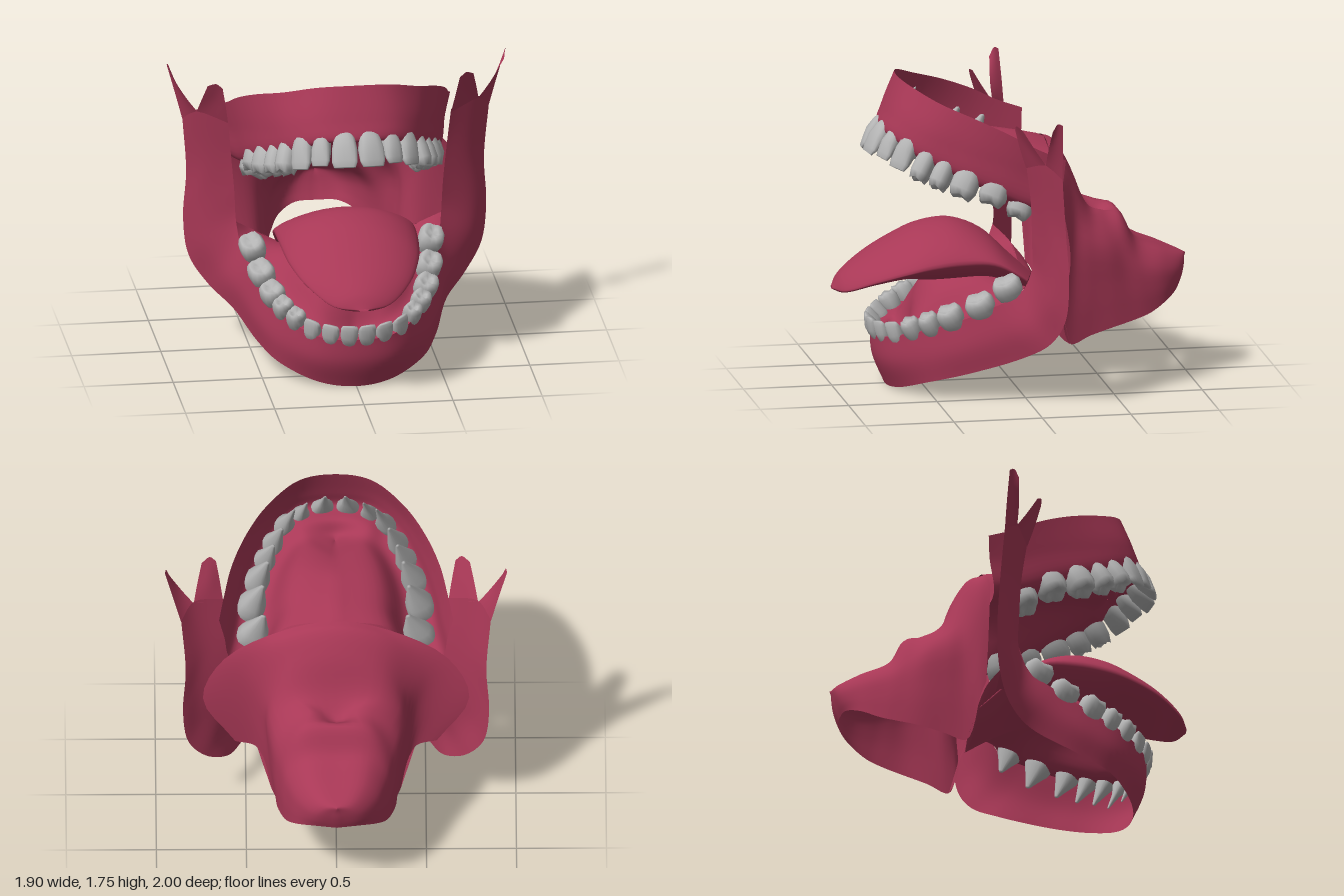
import * as THREE from 'three';
import { mergeVertices } from 'three/addons/utils/BufferGeometryUtils.js';

const flesh = new THREE.MeshStandardMaterial({ color: 0xa83856, side: THREE.DoubleSide });
flesh.name = 'flesh pink';
const enamel = new THREE.MeshStandardMaterial({ color: 0xb4b4b4 });
enamel.name = 'tooth grey';

const V = (p) => new THREE.Vector3(...p);
const flip = (p) => [-p[0], p[1], p[2]];
const spline = (pts, n) => new THREE.CatmullRomCurve3(pts).getPoints(n);

// Smooth sheet through a small grid of points
function sheet(rows, nu, nv) {
  const across = rows.map((r) => spline(r.map(V), nv));
  const cols = across[0].map((_, j) => spline(across.map((r) => r[j]), nu));
  const pos = [], idx = [];
  cols.forEach((c) => c.forEach((p) => pos.push(p.x, p.y, p.z)));
  for (let j = 0; j < nv; j++) {
    for (let i = 0; i < nu; i++) {
      const a = j * (nu + 1) + i, b = a + nu + 1;
      idx.push(a, b, a + 1, b, b + 1, a + 1);
    }
  }
  const g = new THREE.BufferGeometry();
  g.setAttribute('position', new THREE.Float32BufferAttribute(pos, 3));
  g.setIndex(idx);
  const m = mergeVertices(g, 1e-4);
  m.computeVertexNormals();
  return m;
}
// Mirror a list of rows (first row on the midline), or the points inside a row
const mirrorRows = (rows) => [...rows.slice(1).reverse().map((r) => r.map(flip)), ...rows];
const mirrorPoints = (row) => [...row.slice(1).reverse().map(flip), ...row];

// Unit tooth: biting edge at y -0.5, neck at 0.5, root above; rings are [y, width, depth]
function toothShape(rings, cusp) {
  const g = new THREE.LatheGeometry(rings.map(([y, w]) => new THREE.Vector2(w, y)), 16);
  const p = g.attributes.position;
  for (let i = 0; i < p.count; i++) {
    const [y, w, d] = rings[i % rings.length];
    const a = Math.atan2(p.getZ(i), p.getX(i));
    const sq = 1 + 0.12 * Math.sin(2 * a) ** 2;
    p.setXYZ(i, p.getX(i) * sq, y + (y < -0.3 && w > 0.4 ? cusp * Math.cos(4 * a) : 0),
      w > 0 ? p.getZ(i) * sq * d / w : 0);
  }
  g.deleteAttribute('uv');
  g.deleteAttribute('normal');
  const m = mergeVertices(g, 1e-4);
  m.computeVertexNormals();
  return m;
}

export function createModel() {
  const model = new THREE.Group();
  const add = (name, geo, mat = flesh) => {
    const m = new THREE.Mesh(geo, mat);
    m.name = name;
    model.add(m);
    return m;
  };

  // Upper jaw: rim, wall, outer gum, inner gum, palate crown at stations from front to back
  const upper = [
    [[0, 1.755, .635], [0, 1.57, .705], [0, 1.46, .735], [0, 1.43, .64], [0, 1.34, .56]],
    [[.2, 1.74, .60], [.215, 1.56, .67], [.2, 1.45, .7], [.18, 1.42, .6], [0, 1.37, .45]],
    [[.38, 1.67, .46], [.365, 1.5, .555], [.335, 1.38, .595], [.26, 1.34, .53], [0, 1.41, .3]],
    [[.5, 1.6, .28], [.48, 1.42, .345], [.445, 1.29, .4], [.35, 1.26, .36], [0, 1.43, .15]],
    [[.58, 1.52, .1], [.555, 1.35, .13], [.51, 1.2, .2], [.4, 1.18, .18], [0, 1.42, .02]],
    [[.62, 1.44, -.05], [.59, 1.28, -.04], [.55, 1.11, 0], [.42, 1.09, 0], [0, 1.4, -.1]],
    [[.65, 1.38, -.2], [.62, 1.25, -.19], [.585, 1.08, -.16], [.47, 1.05, -.17], [0, 1.37, -.2]],
  ];
  // Bend the inner line of a station between gum and midline
  const bend = (r, k) => {
    const a = r[r.length - 2], b = r[r.length - 1];
    const mid = [a[0] * .62, a[1] + (b[1] - a[1]) * k, a[2] + (b[2] - a[2]) * .4];
    return [...r.slice(0, -1), mid, b];
  };
  add('upperJawAndPalate', sheet(mirrorRows(upper.map((r) => bend(r, .8))), 72, 30));

  // Lower jaw wall: rim, wall, gum; the last stations climb the rear branches
  const wall = [
    [[0, 0, .70], [0, .16, .765], [0, .3, .775]],
    [[.2, .02, .66], [.215, .17, .72], [.2, .31, .735]],
    [[.4, .09, .52], [.395, .22, .56], [.36, .365, .59]],
    [[.5, .15, .32], [.495, .28, .37], [.455, .43, .4]],
    [[.6, .25, .03], [.575, .38, .12], [.515, .52, .2]],
    [[.72, .35, -.1], [.65, .47, -.02], [.555, .61, .04]],
    [[.82, .5, -.165], [.74, .62, -.09], [.575, .74, -.02]],
    [[.85, .72, -.18], [.75, .85, -.1], [.585, .92, -.02]],
    [[.835, 1.0, -.165], [.74, 1.08, -.08], [.605, 1.14, -.01]],
    [[.86, 1.33, -.14], [.79, 1.4, -.06], [.625, 1.36, .02]],
  ];
  add('lowerJaw', sheet(mirrorRows(wall), 108, 14));

  // Forked tips on the rear branches
  const prongs = [
    [[[.625, 1.34, .02], [.71, 1.37, -.02], [.79, 1.39, -.06]],
      [[.645, 1.46, .06], [.70, 1.48, .03], [.77, 1.48, 0]],
      [[.665, 1.57, .09], [.70, 1.6, .09], [.745, 1.58, .06]]],
    [[[.79, 1.39, -.06], [.83, 1.36, -.1], [.86, 1.32, -.14]],
      [[.855, 1.48, -.06], [.88, 1.48, -.1], [.9, 1.47, -.135]],
      [[.935, 1.61, -.07], [.945, 1.66, -.1], [.95, 1.65, -.125]]],
  ];
  for (const s of [1, -1]) {
    prongs.forEach((rows, i) => add(`${s > 0 ? 'left' : 'right'}Jaw${i ? 'Outer' : 'Inner'}Prong`,
      sheet(s > 0 ? rows : rows.map((r) => r.map(flip)), 8, 6)));
  }

  // Mouth floor: inner gum and midline; the midline climbs into the tongue as its root
  const inner = [[0, .32, .69], [.17, .33, .65], [.28, .38, .54], [.36, .44, .38],
    [.42, .52, .2], [.45, .6, .04], [.47, .66, -.1]];
  const mid = [[0, .25, .63], [0, .29, .58], [0, .5, .54], [0, .66, .45],
    [0, .7, .22], [0, .6, 0], [0, .5, -.15]];
  add('mouthFloor', sheet(mirrorRows(inner.map((p, i) => bend([wall[i][2], p, mid[i]], .6))), 60, 18));

  // Front wall of the throat below the tongue root
  add('throatFront', sheet([
    [[0, .5, -.15], [.29, .56, -.12], [.47, .66, -.1]],
    [[0, .44, -.22], [.25, .46, -.22], [.45, .54, -.19]],
    [[0, .25, -.27], [.2, .25, -.27], [.36, .26, -.28]],
  ].map(mirrorPoints), 10, 20));

  // Soft palate and throat: crown, shoulder, side flap, lower side, open rim
  add('throat', sheet([
    [[0, 1.37, -.2], [.29, 1.3, -.19], [.62, 1.1, -.19], [.74, .84, -.21], [.56, .53, -.2]],
    [[0, 1.35, -.25], [.29, 1.27, -.24], [.48, 1.04, -.23], [.49, .78, -.225], [.44, .5, -.215]],
    [[0, 1.22, -.33], [.26, 1.15, -.32], [.39, .92, -.3], [.39, .6, -.29], [.36, .26, -.28]],
    [[0, 1.0, -.41], [.23, 1.0, -.41], [.37, .86, -.39], [.37, .58, -.4], [.34, .3, -.4]],
    [[0, .9, -.5], [.15, .97, -.5], [.34, .82, -.5], [.35, .58, -.52], [.33, .345, -.55]],
    [[0, .95, -.6], [.18, .93, -.6], [.3, .75, -.6], [.32, .56, -.62], [.31, .37, -.65]],
    [[0, .8, -.69], [.17, .79, -.69], [.27, .68, -.7], [.29, .54, -.72], [.28, .4, -.75]],
    [[0, .73, -.85], [.14, .72, -.85], [.22, .64, -.84], [.23, .54, -.85], [.22, .46, -.86]],
    [[0, .68, -.98], [.07, .665, -.975], [.12, .61, -.96], [.13, .55, -.945], [.12, .5, -.93]],
    [[0, .67, -1], [0, .64, -.99], [0, .59, -.98], [0, .54, -.965], [0, .5, -.95]],
  ].map(mirrorPoints), 48, 32));

  // Tongue: z, top, edge, bottom, half width, with a lens-shaped section
  const tongue = [[1, .565, .56, .55, .03], [.95, .64, .57, .54, .16], [.8, .75, .64, .585, .29],
    [.62, .85, .7, .615, .36], [.5, .9, .73, .6, .38], [.33, .92, .75, .6, .39],
    [.15, .85, .74, .6, .39], [0, .71, .66, .55, .37], [-.2, .52, .49, .44, .3]];
  add('tongue', sheet(tongue.map(([z, top, edge, bottom, w]) => {
    const ring = [];
    for (let i = 0; i <= 20; i++) {
      const a = i / 20 * Math.PI * 2, s = Math.sin(a);
      ring.push([w * Math.cos(a), edge + (s > 0 ? top - edge : edge - bottom) * s * Math.abs(s) ** .4, z]);
    }
    return ring;
  }), 40, 40));

  // Teeth: crown centre x, y, z, then width, height, depth
  const incisor = toothShape([[-.5, 0, 0], [-.5, .82, .2], [-.3, .97, .45], [.1, .97, .85],
    [.5, .8, .85], [.9, .4, .45], [1.7, .1, .1], [1.75, 0, 0]], 0);
  const molar = toothShape([[-.34, 0, 0], [-.38, .45, .45], [-.5, .78, .75], [-.25, 1, 1], [.15, 1, 1],
    [.5, .85, .85], [.9, .6, .6], [1.7, .15, .15], [1.75, 0, 0]], .05);
  const upperTeeth = [
    [.075, 1.405, .765, .148, .165, .1], [.2, 1.395, .715, .11, .15, .1], [.295, 1.37, .645, .125, .18, .115],
    [.365, 1.31, .55, .11, .16, .13], [.41, 1.265, .455, .11, .15, .14], [.45, 1.225, .33, .15, .16, .15],
    [.475, 1.18, .17, .16, .15, .16], [.465, 1.09, .02, .14, .14, .18],
  ];
  const lowerTeeth = [
    [.05, .34, .775, .1, .11, .085], [.15, .34, .745, .1, .11, .085], [.245, .35, .69, .1, .12, .09],
    [.325, .385, .61, .1, .11, .1], [.385, .42, .52, .105, .11, .11], [.43, .465, .41, .14, .11, .13],
    [.47, .53, .25, .16, .11, .14], [.5, .63, .1, .16, .11, .14],
  ];
  const placeTeeth = (name, list, up, leans) => list.forEach(([x, y, z, w, h, d], i) => {
    for (const s of [1, -1]) {
      // Root axis stands square to the sloping gum and leans inward from the arch
      const out = new THREE.Vector3(s * x / .25, 0, (z + .05) / .64).normalize();
      const lean = leans[0] + (leans[1] - leans[0]) * i / 7;
      const axis = new THREE.Vector3(0, up, -.4).addScaledVector(out, -lean).normalize();
      const along = new THREE.Vector3(0, 1, 0).cross(out);
      along.addScaledVector(axis, -along.dot(axis)).normalize();
      const tooth = add(`${s > 0 ? 'left' : 'right'}${name}${i + 1}`, i < 3 ? incisor : molar, enamel);
      tooth.quaternion.setFromRotationMatrix(
        new THREE.Matrix4().makeBasis(along, axis, along.clone().cross(axis)));
      tooth.position.set(s * x, y, z);
      tooth.scale.set(w / 2, h, d / 2);
    }
  });
  placeTeeth('UpperTooth', upperTeeth, 1, [.38, .3]);
  placeTeeth('LowerTooth', lowerTeeth, -1, [.1, .25]);

  return model;
}
